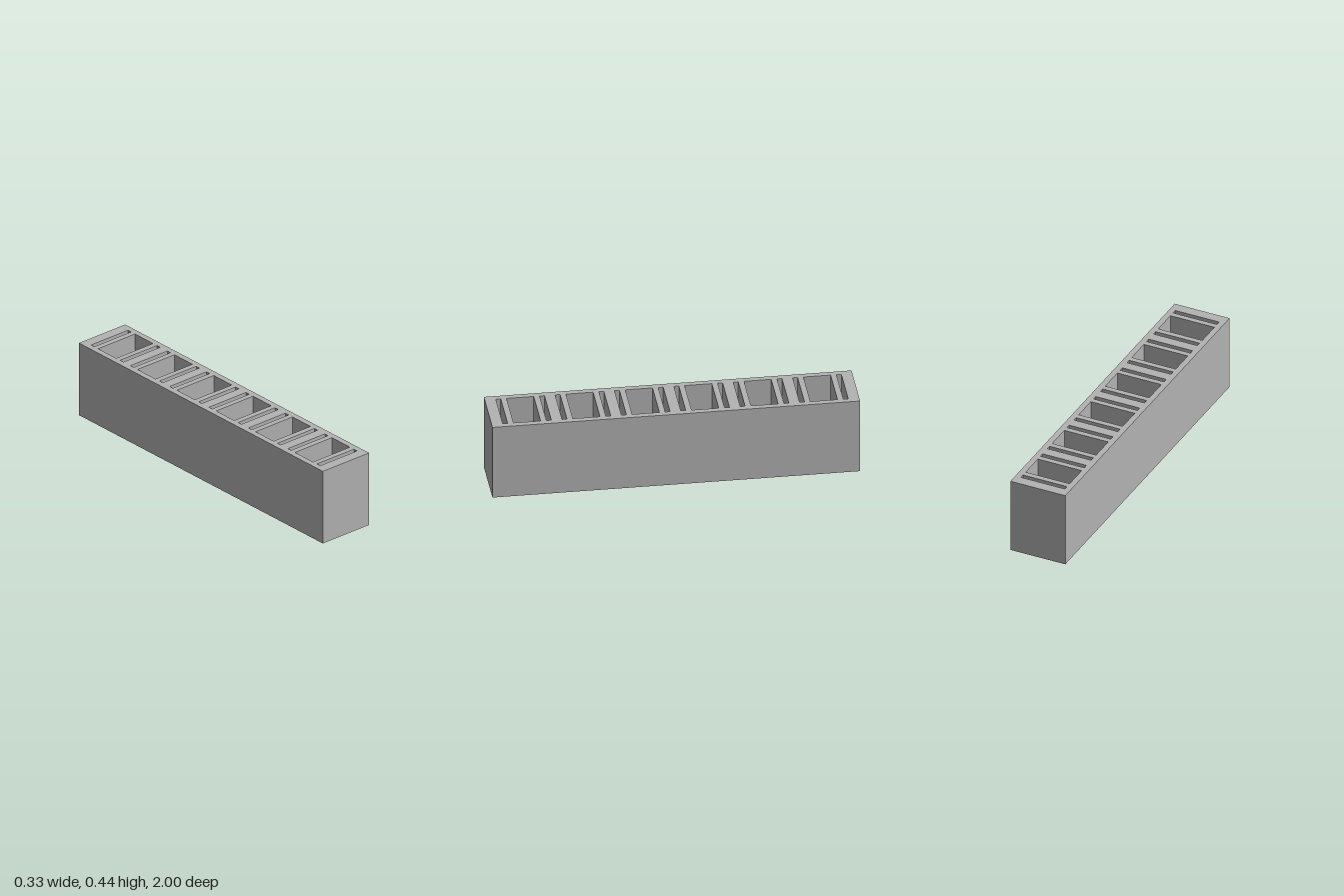
import * as THREE from 'three';

const WIDTH = 0.33, HEIGHT = 0.437, LENGTH = 2;
const FLOOR = 0.033, WELL_WIDTH = 0.264;
const CELLS = 6, PITCH = 0.323;

// Box standing on y = 0 with no top face; inward turns its faces to the inside
function openBox(w, h, d, inward) {
  const box = new THREE.BoxGeometry(w, h, d);
  const index = Array.from(box.index.array);
  index.splice(12, 6);
  if (inward) index.reverse();
  box.setIndex(index);
  const open = box.toNonIndexed();
  open.computeVertexNormals();
  return open.translate(0, h / 2, 0);
}

// Rectangle path centred on x = 0
function rectangle(target, w, d, z) {
  target.moveTo(-w / 2, -z - d / 2);
  target.lineTo(w / 2, -z - d / 2);
  target.lineTo(w / 2, -z + d / 2);
  target.lineTo(-w / 2, -z + d / 2);
  target.closePath();
  return target;
}

export function createModel() {
  const model = new THREE.Group();
  model.name = 'slottedBlock';
  const grey = new THREE.MeshStandardMaterial({ color: 0xb2b2b2 });
  grey.name = 'grey';

  const add = (geometry, name, y = 0, z = 0) => {
    const mesh = new THREE.Mesh(geometry, grey);
    mesh.name = name;
    mesh.position.set(0, y, z);
    model.add(mesh);
  };

  // Outer walls and underside
  add(openBox(WIDTH, HEIGHT, LENGTH, false), 'outerShell');

  // Each cell has a wide pocket between two narrow slots
  const top = rectangle(new THREE.Shape(), WIDTH, LENGTH, 0);
  const openings = [
    { name: 'backSlot', offset: -0.119, depth: 0.027 },
    { name: 'pocket', offset: 0, depth: 0.148 },
    { name: 'frontSlot', offset: 0.119, depth: 0.027 },
  ];
  for (let i = 0; i < CELLS; i++) {
    const centre = (i - (CELLS - 1) / 2) * PITCH;
    for (const { name, offset, depth } of openings) {
      const z = centre + offset;
      top.holes.push(rectangle(new THREE.Path(), WELL_WIDTH, depth, z));
      add(openBox(WELL_WIDTH, HEIGHT - FLOOR, depth, true), name + (i + 1), FLOOR, z);
    }
  }

  // Top face with the openings cut out
  add(new THREE.ShapeGeometry(top).rotateX(-Math.PI / 2), 'topFace', HEIGHT);

  return model;
}
